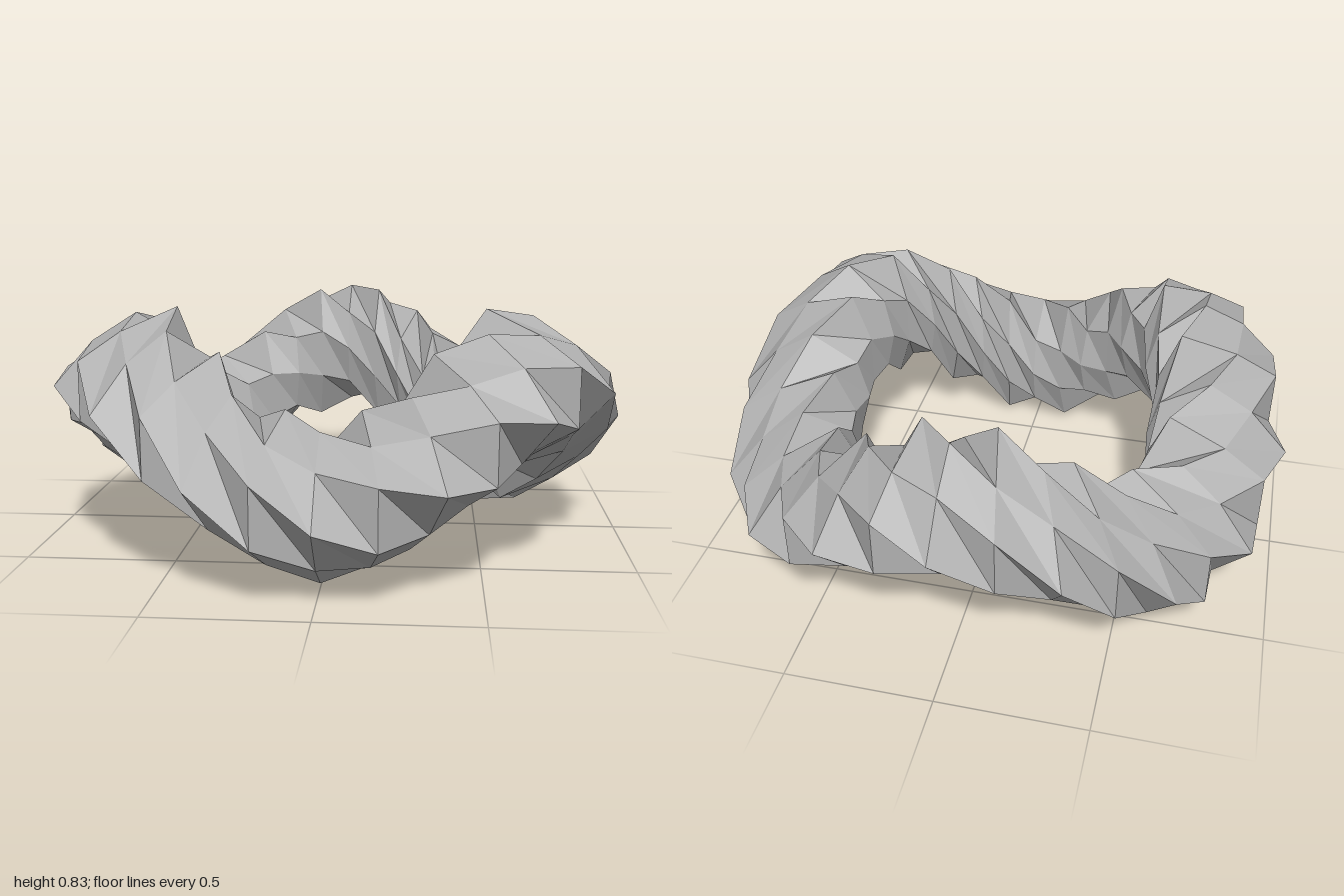
import * as THREE from 'three';

const RINGS = 32, SIDES = 8;
const RADIUS = 0.7576, MID_Y = 0.417, WAVE = 0.16;

// Upper half of the section as [outward, up], in half steps from the outer to the inner edge.
// Even rings use the even entries and odd rings the odd ones.
const HALF = [
  [0.2424, 0], [0.196, 0.097], [0.109, 0.148], [0.05, 0.185], [-0.04, 0.238],
  [-0.148, 0.256], [-0.205, 0.14], [-0.215, 0.09], [-0.2424, 0],
];

function sectionPoint(step) {
  const k = step % (2 * SIDES);
  if (k <= SIDES) return HALF[k];
  const [out, up] = HALF[2 * SIDES - k];
  return [out, -up];
}

// Each ring turns by half a side, and the ring rises and falls three times.
function ringPoint(i, j) {
  const phi = (i / RINGS) * Math.PI * 2;
  const [out, up] = sectionPoint(2 * j + i);
  const r = RADIUS + out;
  return [r * Math.cos(phi), MID_Y + WAVE * Math.sin(3 * phi) + up, r * Math.sin(phi)];
}

export function createModel() {
  const group = new THREE.Group();
  group.name = 'twistedWavyRing';

  const grey = new THREE.MeshStandardMaterial({ color: 0xb0b0b0, flatShading: true });
  grey.name = 'grey';

  // Skewed facets between neighbouring rings
  const positions = [];
  for (let i = 0; i < RINGS; i++) {
    for (let j = 0; j < SIDES; j++) {
      const a = ringPoint(i, j), b = ringPoint(i, j + 1);
      const c = ringPoint(i + 1, j + 1), d = ringPoint(i + 1, j);
      positions.push(...a, ...b, ...c, ...a, ...c, ...d);
    }
  }
  const geometry = new THREE.BufferGeometry();
  geometry.setAttribute('position', new THREE.Float32BufferAttribute(positions, 3));
  geometry.computeVertexNormals();

  const ring = new THREE.Mesh(geometry, grey);
  ring.name = 'ring';
  group.add(ring);
  return group;
}
